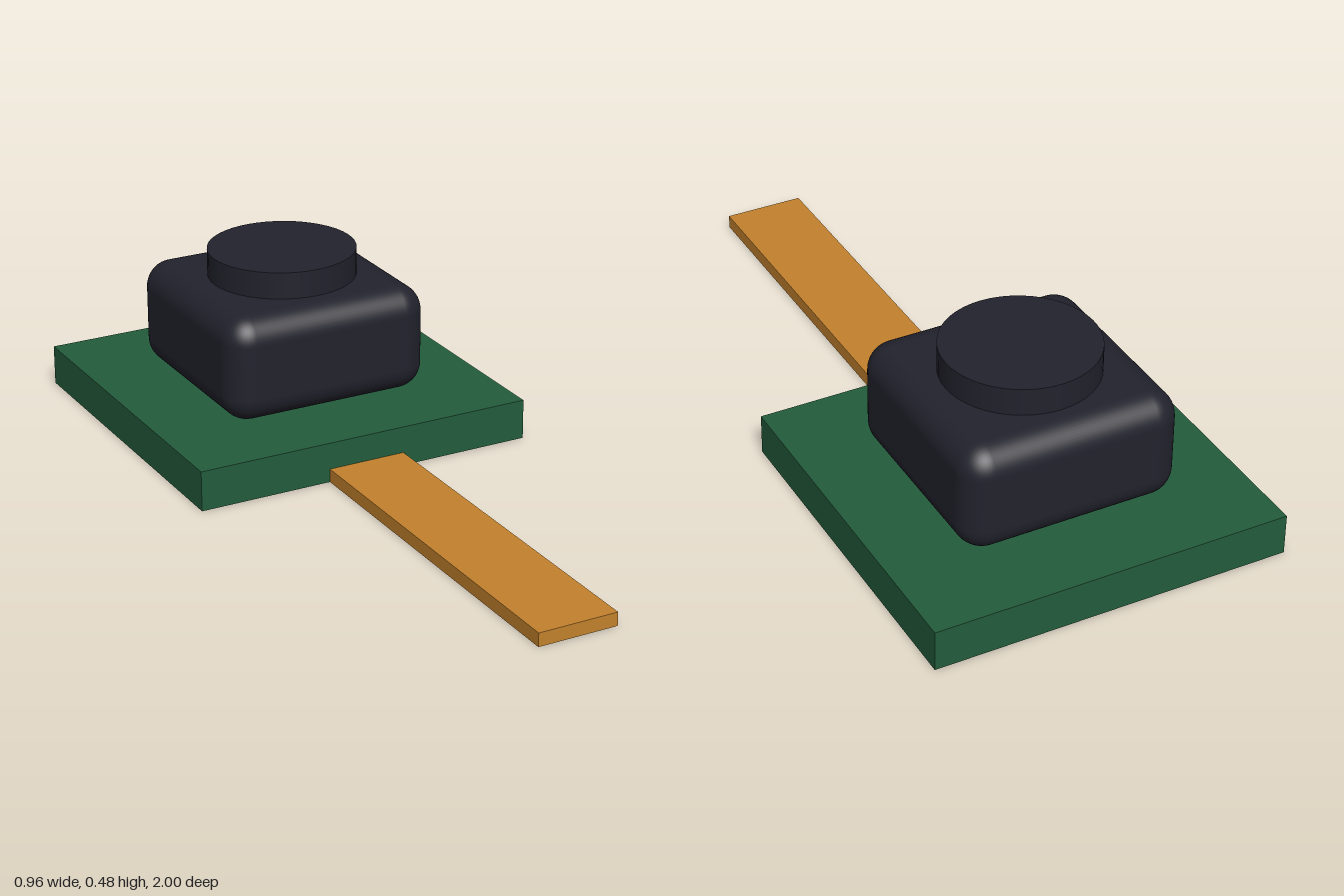
import * as THREE from 'three';
import { RoundedBoxGeometry } from 'three/addons/geometries/RoundedBoxGeometry.js';

export function createModel() {
  const model = new THREE.Group();
  model.name = 'cameraModule';

  const green = new THREE.MeshStandardMaterial({ name: 'boardGreen', color: 0x235c3b });
  const black = new THREE.MeshStandardMaterial({ name: 'housingBlack', color: 0x22222d });
  const amber = new THREE.MeshStandardMaterial({ name: 'ribbonAmber', color: 0xc4822d });

  const add = (name, geometry, material, x, y, z) => {
    const mesh = new THREE.Mesh(geometry, material);
    mesh.name = name;
    mesh.position.set(x, y, z);
    model.add(mesh);
  };

  const centreZ = -0.519; // shared axis of board, housing and lens
  const boardTop = 0.111;
  const housingHeight = 0.297;
  const lensHeight = 0.074;
  const housingTop = boardTop + housingHeight;

  // Square circuit board
  add('circuitBoard', new THREE.BoxGeometry(0.962, boardTop, 0.962), green, 0, boardTop / 2, centreZ);

  // Soft-edged sensor housing
  add('sensorHousing', new RoundedBoxGeometry(0.592, housingHeight, 0.592, 6, 0.074), black,
    0, boardTop + housingHeight / 2, centreZ);

  // Round lens barrel
  add('lensBarrel', new THREE.CylinderGeometry(0.203, 0.203, lensHeight, 48), black,
    0, housingTop + lensHeight / 2, centreZ);

  // Flat ribbon cable leaving the front edge of the board
  const ribbonStart = -0.038;
  const ribbonLength = 1 - ribbonStart;
  add('ribbonCable', new THREE.BoxGeometry(0.22, 0.037, ribbonLength), amber,
    0, 0.0185, ribbonStart + ribbonLength / 2);

  return model;
}
